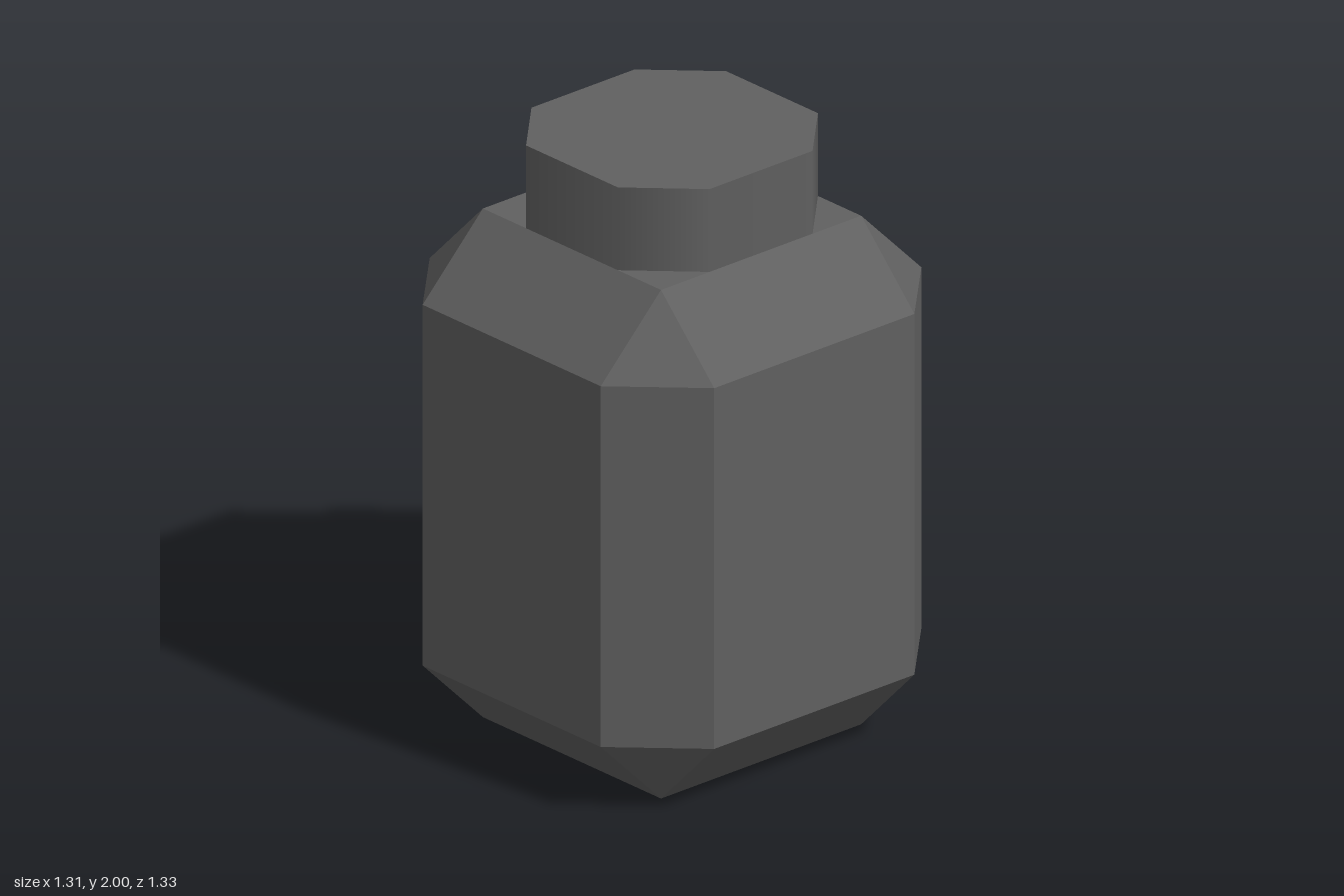
import * as THREE from 'three';
import { ConvexGeometry } from 'three/addons/geometries/ConvexGeometry.js';

export function createModel() {
  const group = new THREE.Group();
  const darkGrey = new THREE.MeshStandardMaterial({ color: 0x606060 });

  const outerX = 0.655, outerZ = 0.665; // outer body walls
  const innerX = 0.41, innerZ = 0.415; // flat part of each face
  const shoulder = 1.47, bodyTop = 1.72, foot = 0.25, top = 2;

  // Body: a tall box with every edge and corner chamfered
  const corners = [];
  for (const sx of [-1, 1]) {
    for (const sz of [-1, 1]) {
      for (const y of [0, bodyTop]) corners.push(new THREE.Vector3(sx * innerX, y, sz * innerZ));
      for (const y of [foot, shoulder]) {
        corners.push(new THREE.Vector3(sx * outerX, y, sz * innerZ));
        corners.push(new THREE.Vector3(sx * innerX, y, sz * outerZ));
      }
    }
  }
  const body = new THREE.Mesh(new ConvexGeometry(corners), darkGrey);
  body.name = 'body';
  group.add(body);

  // Cap: eight-sided, smooth round the side, pulled into a square with cut corners
  const capGeometry = new THREE.CylinderGeometry(1, 1, top - bodyTop, 8, 1, false, Math.PI / 8);
  const p = capGeometry.attributes.position;
  const fit = (v, half) => (Math.abs(v) < 0.01 ? 0 : Math.sign(v) * half * (Math.abs(v) > 0.7 ? 1 : 0.515));
  for (let i = 0; i < p.count; i++) {
    p.setX(i, fit(p.getX(i), innerX));
    p.setZ(i, fit(p.getZ(i), innerZ));
  }
  const cap = new THREE.Mesh(capGeometry, darkGrey);
  cap.name = 'cap';
  cap.position.y = (top + bodyTop) / 2;
  group.add(cap);

  return group;
}
